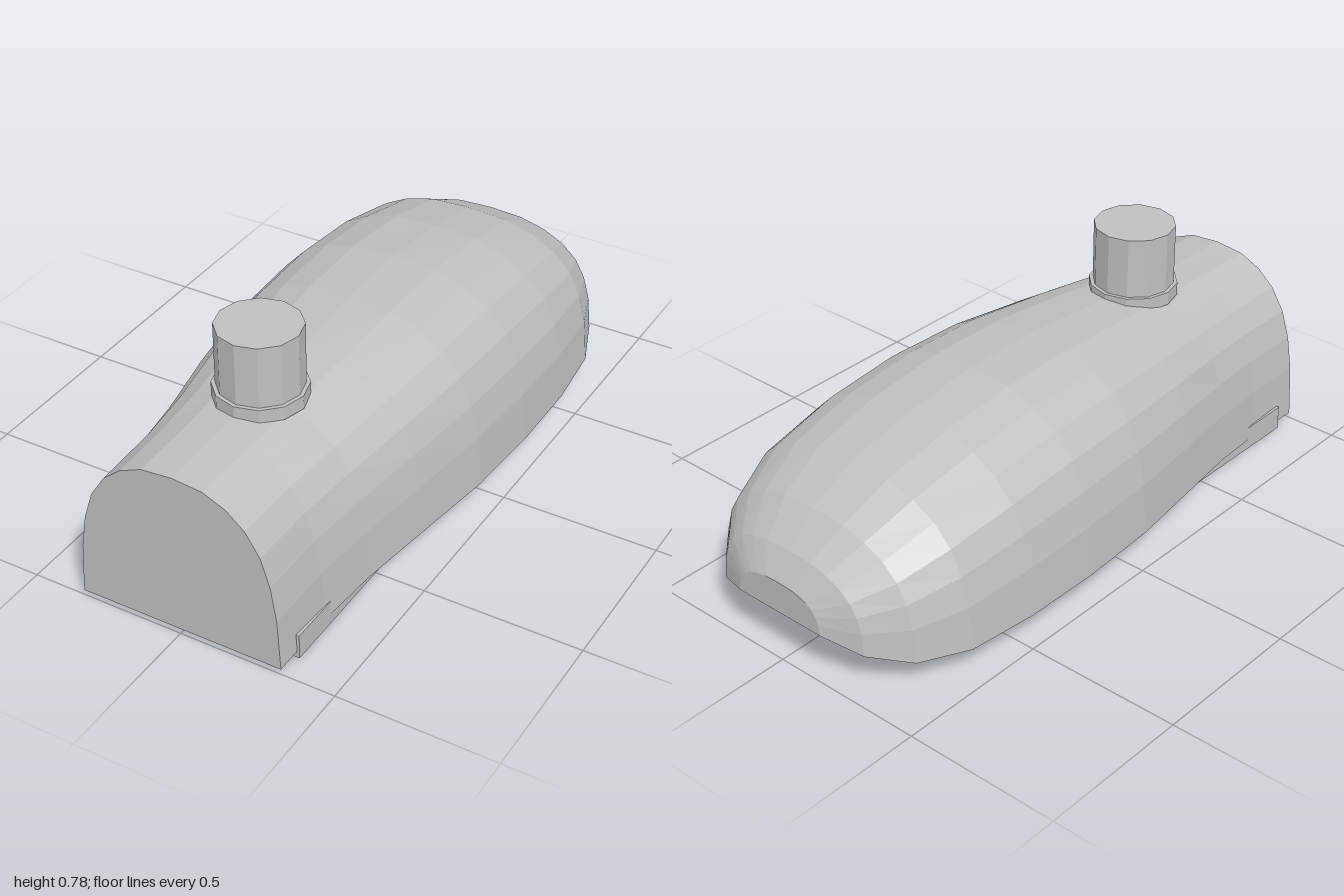
import * as THREE from 'three';

// Half outline of the arched cross-section: [fraction of half width, fraction of height]
const ARCH = [[1, 0], [0.972, 0.315], [0.918, 0.525], [0.83, 0.695], [0.692, 0.83], [0.515, 0.923], [0.3, 0.982], [0, 1]];

// Body stations, front to back: [z, half width, bottom, top]
const STATIONS = [
  [1, 0.33, 0.017, 0.545],
  [0.78, 0.338, 0.033, 0.549],
  [0.58, 0.365, 0.053, 0.556],
  [0.35, 0.41, 0.073, 0.578],
  [0.07, 0.453, 0.08, 0.6],
  [-0.2, 0.468, 0.08, 0.6],
  [-0.46, 0.466, 0.08, 0.572],
  [-0.69, 0.442, 0.08, 0.52],
  [-0.85, 0.38, 0.095, 0.44],
  [-0.95, 0.28, 0.125, 0.35],
  [-1, 0.16, 0.165, 0.27],
];

function bodyGeometry() {
  const outline = [...ARCH, ...ARCH.slice(0, -1).reverse().map(([x, y]) => [-x, y])];
  const n = outline.length;
  const rings = STATIONS.map(([z, w, bottom, top]) =>
    outline.map(([x, y]) => [x * w, bottom + y * (top - bottom), z]));
  const pos = [];
  const tri = (a, b, c) => pos.push(...a, ...b, ...c);

  // Skin between neighbouring rings, including the flat underside
  for (let i = 0; i < rings.length - 1; i++) {
    for (let j = 0; j < n; j++) {
      const k = (j + 1) % n;
      const [a, b, c, d] = [rings[i][j], rings[i][k], rings[i + 1][j], rings[i + 1][k]];
      tri(a, c, b);
      tri(b, c, d);
    }
  }
  // End caps
  const front = rings[0], back = rings[rings.length - 1];
  for (let j = 1; j < n - 1; j++) {
    tri(front[0], front[j], front[j + 1]);
    tri(back[0], back[j + 1], back[j]);
  }
  const g = new THREE.BufferGeometry();
  g.setAttribute('position', new THREE.Float32BufferAttribute(pos, 3));
  g.computeVertexNormals();
  return g;
}

export function createModel() {
  const model = new THREE.Group();
  model.name = 'domedHousing';
  const grey = new THREE.MeshStandardMaterial({ color: 0xbfbfbf, flatShading: true });
  grey.name = 'plain grey';

  const add = (name, geometry, x = 0, y = 0, z = 0) => {
    const mesh = new THREE.Mesh(geometry, grey);
    mesh.name = name;
    mesh.position.set(x, y, z);
    model.add(mesh);
  };
  // Box given by its width and its y and z ranges
  const block = (name, width, y0, y1, z0, z1) =>
    add(name, new THREE.BoxGeometry(width, y1 - y0, z1 - z0), 0, (y0 + y1) / 2, (z0 + z1) / 2);
  // Upright twelve-sided cylinder on the pipe axis
  const post = (name, radius, y0, y1) =>
    add(name, new THREE.CylinderGeometry(radius, radius, y1 - y0, 12), 0, (y0 + y1) / 2, 0.555);

  add('body', bodyGeometry());

  // Pipe and its collar on top
  post('collar', 0.14, 0.545, 0.588);
  post('pipe', 0.128, 0.545, 0.783);

  // Plates under the body
  block('frontBasePlate', 0.68, 0, 0.08, 0.35, 0.92);
  block('rearBasePlate', 0.72, 0.03, 0.085, -0.68, 0.29);
  block('rearFoot', 0.14, 0.045, 0.12, -0.88, -0.77);

  return model;
}
